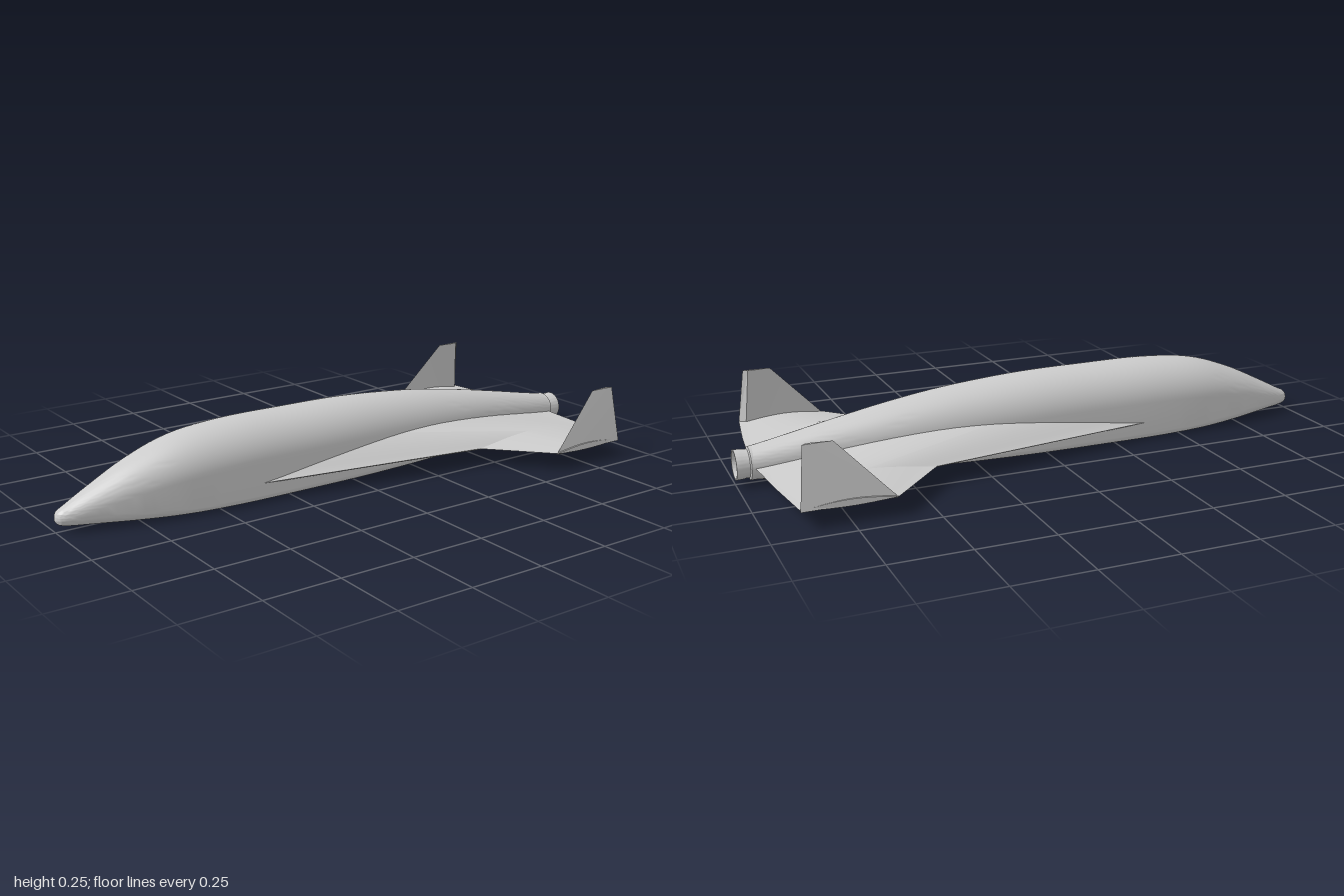
import * as THREE from 'three';
import { toCreasedNormals } from 'three/addons/utils/BufferGeometryUtils.js';

const material = new THREE.MeshStandardMaterial({ color: 0xcccccc });

// Skin a row of closed rings and cap both ends
function loft(rings, flip = false, crease = 0.5) {
  const n = rings[0].length, pos = [], idx = [];
  const tri = (a, b, c) => (flip ? idx.push(a, c, b) : idx.push(a, b, c));
  rings.forEach(r => r.forEach(p => pos.push(p.x, p.y, p.z)));
  for (let i = 0; i < rings.length - 1; i++) {
    for (let j = 0; j < n; j++) {
      const a = i * n + j, b = i * n + (j + 1) % n;
      tri(a, a + n, b);
      tri(b, a + n, b + n);
    }
  }
  [0, rings.length - 1].forEach(i => {
    const mid = rings[i].reduce((s, p) => s.add(p), new THREE.Vector3()).divideScalar(n);
    const c = pos.length / 3;
    pos.push(mid.x, mid.y, mid.z);
    for (let j = 0; j < n; j++) {
      const a = i * n + j, b = i * n + (j + 1) % n;
      if (i === 0) tri(c, a, b); else tri(c, b, a);
    }
  });
  const g = new THREE.BufferGeometry();
  g.setAttribute('position', new THREE.Float32BufferAttribute(pos, 3));
  g.setIndex(idx);
  return toCreasedNormals(g, crease);
}

function mesh(name, geometry, mat = material) {
  const m = new THREE.Mesh(geometry, mat);
  m.name = name;
  return m;
}

// Fuselage: round back, upright sides, flat belly with small corner radius
function fuselage() {
  // x, half width, top, bottom, belly corner radius
  const stations = [
    [-1, 0.006, 0.05, 0.036, 0.006],
    [-0.99, 0.022, 0.067, 0.025, 0.018],
    [-0.96, 0.036, 0.082, 0.019, 0.026],
    [-0.88, 0.06, 0.123, 0.014, 0.034],
    [-0.75, 0.091, 0.185, 0.008, 0.032],
    [-0.6, 0.115, 0.234, 0.004, 0.025],
    [-0.42, 0.125, 0.253, 0.002, 0.02],
    [-0.2, 0.126, 0.254, 0.001, 0.02],
    [0.05, 0.125, 0.25, 0.001, 0.02],
    [0.3, 0.115, 0.231, 0.002, 0.023],
    [0.5, 0.1, 0.203, 0.005, 0.028],
    [0.7, 0.079, 0.166, 0.008, 0.036],
    [0.85, 0.063, 0.136, 0.011, 0.046],
    [0.95, 0.053, 0.117, 0.013, 0.053],
  ];
  const upper = new THREE.CatmullRomCurve3(
    stations.map(s => new THREE.Vector3(s[0], s[1], s[2])), false, 'catmullrom');
  const lower = new THREE.CatmullRomCurve3(
    stations.map(s => new THREE.Vector3(s[0], s[3], s[4])), false, 'catmullrom');
  const rings = [], steps = (stations.length - 1) * 5;
  for (let i = 0; i <= steps; i++) {
    const { x, y: w, z: top } = upper.getPoint(i / steps);
    const { y: bottom, z: corner } = lower.getPoint(i / steps);
    const h = (top - bottom) / 2, mid = bottom + h;
    const rz = Math.min(corner, w * 0.99), ry = Math.min(corner, h * 0.99);
    const ring = [];
    for (let k = 0; k <= 32; k++) {
      const a = Math.PI * k / 32;
      ring.push(new THREE.Vector3(x, mid + h * Math.sin(a), w * Math.cos(a)));
    }
    for (const side of [-1, 1]) {
      for (let k = 0; k <= 8; k++) {
        const a = Math.PI / 2 * (side < 0 ? k : 8 - k) / 8;
        ring.push(new THREE.Vector3(x, bottom + ry * (1 - Math.sin(a)),
          side * (w - rz + rz * Math.cos(a))));
      }
    }
    rings.push(ring);
  }
  return loft(rings, false, 0.7);
}

// Cranked delta wing, thick at the root
function wing(side) {
  // z, leading x, trailing x, mid height, rise above, depth below
  const sections = [
    [0, -0.38, 0.95, 0.061, 0.075, 0.035],
    [0.11, -0.455, 0.938, 0.061, 0.069, 0.031],
    [0.25, 0.43, 0.925, 0.061, 0.025, 0.012],
    [0.438, 0.61, 0.9, 0.06, 0.013, 0.006],
  ];
  const n = 20;
  const rings = sections.map(([z, lead, trail, y, up, down]) => {
    const ring = [];
    for (let k = 0; k < 2 * n; k++) {
      const above = k <= n, u = above ? k / n : 2 - k / n;
      const bulge = Math.pow(Math.max(0, Math.sin(Math.PI * u)), 1.15);
      const dy = above ? up * bulge + 0.001 : -down * bulge - 0.001;
      ring.push(new THREE.Vector3(lead + (trail - lead) * u, y + dy, side * z));
    }
    return ring;
  });
  return loft(rings, side < 0, 0.3);
}

// Wedge-shaped fin leaning inward from the wing tip
function fin(side) {
  const ring = (y, pts) => pts.map(([x, z]) => new THREE.Vector3(x, y, side * z));
  return loft([
    ring(0.056, [[0.61, 0.434], [0.88, 0.415], [0.9, 0.44]]),
    ring(0.245, [[0.79, 0.408], [0.865, 0.4], [0.88, 0.412]]),
  ], side < 0, 0.2);
}

// Engine nozzle: collar, bell and recessed interior
function nozzle() {
  const profile = [[0, 0.94], [0.053, 0.94], [0.053, 0.955], [0.045, 0.958], [0.045, 0.965],
    [0.047, 0.98], [0.048, 1], [0.043, 1], [0.04, 0.965], [0, 0.965]];
  const g = new THREE.LatheGeometry(profile.map(p => new THREE.Vector2(...p)), 48);
  g.rotateZ(-Math.PI / 2);
  g.translate(0, 0.065, 0);
  return toCreasedNormals(g, 0.5);
}

export function createModel() {
  const model = new THREE.Group();
  model.name = 'spaceplane';
  model.add(mesh('fuselage', fuselage()));
  const nozzleMaterial = material.clone();
  nozzleMaterial.side = THREE.DoubleSide;
  model.add(mesh('engineNozzle', nozzle(), nozzleMaterial));
  for (const [name, side] of [['left', 1], ['right', -1]]) {
    model.add(mesh(name + 'Wing', wing(side)), mesh(name + 'TipFin', fin(side)));
  }
  return model;
}
